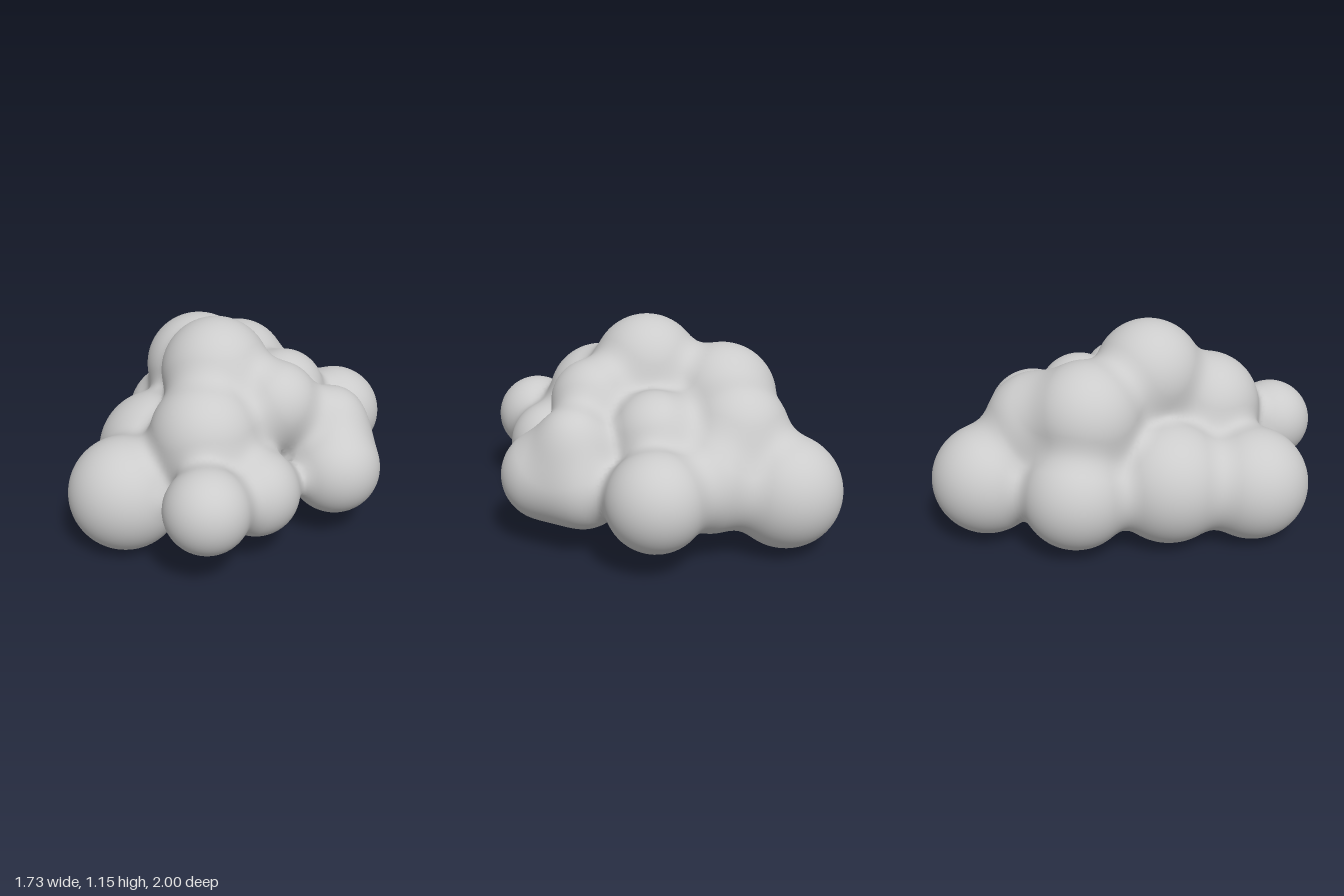
import * as THREE from 'three';

// Puffs of the cloud: x, y, z, radius
const puffs = [
  // lower ring
  [-0.08, 0.31, 0.69, 0.31],
  [-0.28, 0.345, 0.28, 0.337],
  [-0.57, 0.335, -0.14, 0.298],
  [-0.565, 0.335, -0.665, 0.305],
  [-0.17, 0.4, -0.59, 0.27],
  [0.17, 0.395, -0.738, 0.264],
  [0.46, 0.375, -0.38, 0.235],
  [0.615, 0.385, -0.21, 0.25],
  [0.49, 0.38, 0.28, 0.235],
  [0.505, 0.43, 0.647, 0.227],
  // core
  [0.15, 0.375, -0.1, 0.27],
  [-0.15, 0.5, -0.2, 0.28],
  // upper layer
  [0.18, 0.62, 0.345, 0.298],
  [-0.39, 0.71, -0.15, 0.303],
  [-0.36, 0.61, -0.45, 0.287],
  [0.07, 0.615, -0.385, 0.237],
  [0.49, 0.585, -0.31, 0.2],
  [0.315, 0.72, -0.055, 0.235],
  [-0.02, 0.85, 0.07, 0.298],
];
const BLEND = 0.11;

// Distance to all puffs, joined with soft creases
function distance(x, y, z) {
  let d = 10;
  for (const [cx, cy, cz, r] of puffs) {
    const s = Math.hypot(x - cx, y - cy, z - cz) - r;
    const h = Math.max(BLEND - Math.abs(d - s), 0);
    d = Math.min(d, s) - (h * h) / (4 * BLEND);
  }
  return d;
}

function gradient(p, out) {
  const e = 0.002;
  return out.set(
    distance(p.x + e, p.y, p.z) - distance(p.x - e, p.y, p.z),
    distance(p.x, p.y + e, p.z) - distance(p.x, p.y - e, p.z),
    distance(p.x, p.y, p.z + e) - distance(p.x, p.y, p.z - e),
  ).normalize();
}

// Skin the distance field: one vertex per crossed grid cell, one quad per crossed edge
function skin(min, size, step) {
  const n = size.map((s) => Math.ceil(s / step) + 1);
  const stride = [1, n[0], n[0] * n[1]];
  const field = new Float32Array(n[0] * n[1] * n[2]);
  const each = (from, trim, fn) => {
    for (let k = from; k < n[2] - trim; k++)
      for (let j = from; j < n[1] - trim; j++)
        for (let i = from; i < n[0] - trim; i++) fn(i, j, k, i + j * stride[1] + k * stride[2]);
  };
  each(0, 0, (i, j, k, id) => {
    field[id] = distance(min[0] + i * step, min[1] + j * step, min[2] + k * step);
  });

  const positions = [], normals = [], indices = [];
  const vertexOf = new Int32Array(field.length).fill(-1);
  const p = new THREE.Vector3(), g = new THREE.Vector3();
  each(0, 1, (i, j, k, id) => {
    let inside = 0;
    for (let c = 0; c < 8; c++) {
      const corner = id + (c & 1) + ((c >> 1) & 1) * stride[1] + (c >> 2) * stride[2];
      if (field[corner] < 0) inside++;
    }
    if (inside === 0 || inside === 8) return;
    // start at the cell centre and slide onto the surface
    p.set(min[0] + (i + 0.5) * step, min[1] + (j + 0.5) * step, min[2] + (k + 0.5) * step);
    for (let t = 0; t < 3; t++) p.addScaledVector(gradient(p, g), -distance(p.x, p.y, p.z));
    gradient(p, g);
    vertexOf[id] = positions.length / 3;
    positions.push(p.x, p.y, p.z);
    normals.push(g.x, g.y, g.z);
  });

  each(1, 1, (i, j, k, id) => {
    for (let a = 0; a < 3; a++) {
      const here = field[id] < 0, next = field[id + stride[a]] < 0;
      if (here === next) continue;
      const b = stride[(a + 1) % 3], c = stride[(a + 2) % 3];
      const q = [id, id - b, id - b - c, id - c].map((cell) => vertexOf[cell]);
      if (!here) q.reverse();
      indices.push(q[0], q[1], q[2], q[0], q[2], q[3]);
    }
  });

  const geometry = new THREE.BufferGeometry();
  geometry.setAttribute('position', new THREE.Float32BufferAttribute(positions, 3));
  geometry.setAttribute('normal', new THREE.Float32BufferAttribute(normals, 3));
  geometry.setIndex(indices);
  return geometry;
}

export function createModel() {
  const group = new THREE.Group();
  group.name = 'cloud';
  const material = new THREE.MeshStandardMaterial({ color: 0xcccccc });
  const body = new THREE.Mesh(skin([-1, -0.1, -1.1], [2, 1.36, 2.2], 0.024), material);
  body.name = 'cloudPuffs';
  group.add(body);
  return group;
}
